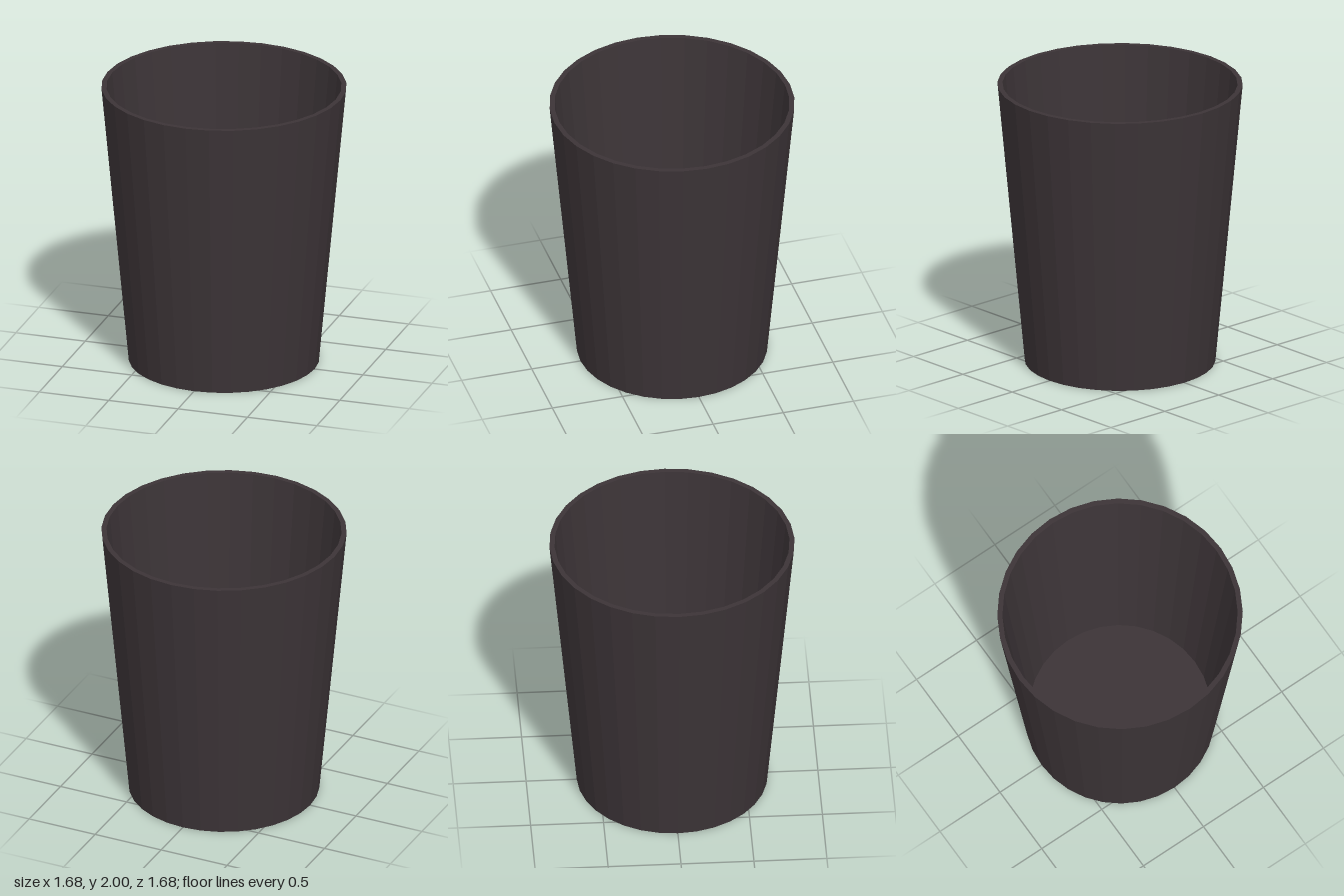
import * as THREE from 'three';

export function createModel() {
  const group = new THREE.Group();
  group.name = 'cup';

  const material = new THREE.MeshStandardMaterial({ color: 0x3c3437, flatShading: true });

  // Tapered wall section: base centre, up the outside, over the rim, down to the inner floor
  const profile = [
    [0, 0],
    [0.653, 0],
    [0.84, 2],
    [0.805, 2],
    [0.625, 0.06],
    [0, 0.06],
  ].map(([r, y]) => new THREE.Vector2(r, y));

  const cup = new THREE.Mesh(new THREE.LatheGeometry(profile, 32), material);
  cup.name = 'cupBody';
  group.add(cup);

  return group;
}
